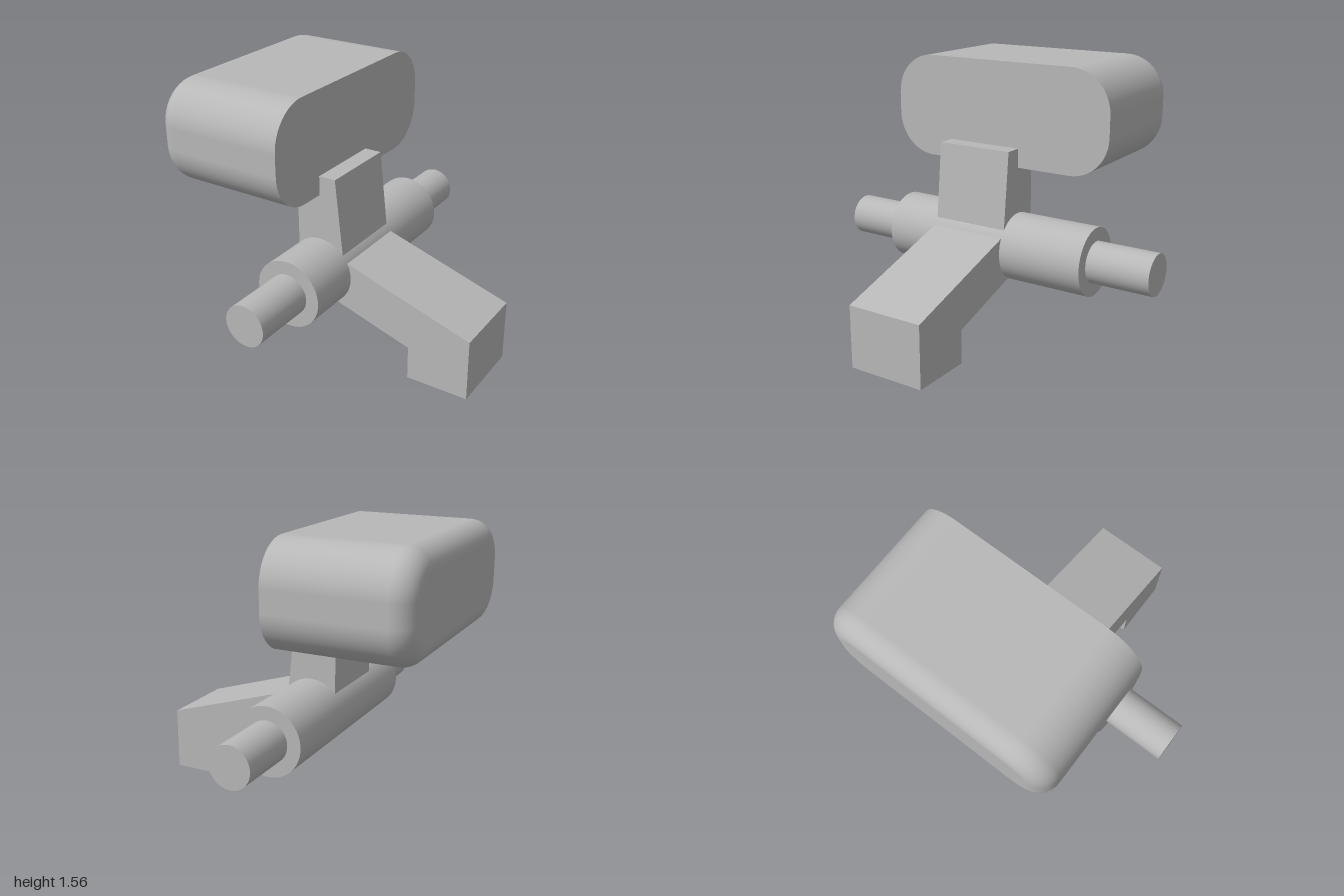
import * as THREE from 'three';

const grey = new THREE.MeshStandardMaterial({ color: 0xb8b8b8 });
grey.name = 'plain grey';

const AXLE = [-0.07, 0.51]; // x, y of the pivot axis

function part(name, geometry) {
  const mesh = new THREE.Mesh(geometry, grey);
  mesh.name = name;
  return mesh;
}

// Cylinder lying along z on the pivot axis
function barrel(name, radius, halfLength) {
  const g = new THREE.CylinderGeometry(radius, radius, halfLength * 2, 64);
  g.rotateX(Math.PI / 2).translate(AXLE[0], AXLE[1], 0);
  return part(name, g);
}

// Side outline in x, y given the common width of both arms
function arm(name, outline) {
  const shape = new THREE.Shape(outline.map(([x, y]) => new THREE.Vector2(x, y)));
  const g = new THREE.ExtrudeGeometry(shape, { depth: 0.46, bevelEnabled: false });
  return part(name, g.translate(0, 0, -0.135));
}

// Rounded-rectangle block along x: left end rounded over, right end flat
function padGeometry() {
  const x0 = -0.86, x1 = -0.07, cy = 1.265, hy = 0.295, hz = 0.693;
  const corner = 0.235, round = 0.12, steps = 12;

  // Each row: x position, inset, outward tilt of the normal, scale (0 = cap centre)
  const rows = [{ x: x0, inset: round, nx: -1, s: 0 }];
  for (let i = 0; i <= steps; i++) {
    const a = (1 - i / steps) * Math.PI / 2;
    rows.push({
      x: x0 + round * (1 - Math.sin(a)),
      inset: round * (1 - Math.cos(a)), nx: -Math.sin(a), s: 1,
    });
  }
  rows.push({ x: x1, inset: 0, nx: 0, s: 1 });
  rows.push({ x: x1, inset: 0, nx: 1, s: 1 });
  rows.push({ x: x1, inset: 0, nx: 1, s: 0 });

  const pos = [], nor = [], idx = [];
  const count = 4 * (steps + 1);
  for (const { x, inset, nx, s } of rows) {
    const n = Math.sqrt(Math.max(0, 1 - nx * nx));
    for (let q = 0; q < 4; q++) {
      const sz = q === 0 || q === 3 ? 1 : -1;
      const sy = q < 2 ? 1 : -1;
      for (let k = 0; k <= steps; k++) {
        const t = (q + k / steps) * Math.PI / 2;
        const z = sz * (hz - corner) + (corner - inset) * Math.cos(t);
        const y = sy * (hy - corner) + (corner - inset) * Math.sin(t);
        pos.push(x, cy + y * s, z * s);
        nor.push(nx, n * Math.sin(t), n * Math.cos(t));
      }
    }
  }
  for (let r = 0; r < rows.length - 1; r++) {
    for (let j = 0; j < count; j++) {
      const a = r * count + j, b = r * count + (j + 1) % count;
      const c = a + count, d = b + count;
      if (rows[r].s) idx.push(a, c, b);
      if (rows[r + 1].s) idx.push(b, c, d);
    }
  }
  const g = new THREE.BufferGeometry();
  g.setAttribute('position', new THREE.Float32BufferAttribute(pos, 3));
  g.setAttribute('normal', new THREE.Float32BufferAttribute(nor, 3));
  g.setIndex(idx);
  return g;
}

export function createModel() {
  const model = new THREE.Group();
  model.name = 'pivotingPedal';

  // Pivot
  model.add(barrel('hub', 0.195, 0.635));
  model.add(barrel('shaft', 0.118, 1));

  // Upright arm, notched to seat the pad
  model.add(arm('upperArm', [
    [-0.215, 0.51], [0, 0.51], [0.075, 0.64], [0.03, 1.08],
    [-0.07, 1.08], [-0.07, 0.97], [-0.215, 0.97],
  ]));

  // Sloping arm with its foot
  model.add(arm('lowerArm', [
    [-0.07, 0.51], [0.03, 0.34], [0.495, 0.195], [0.495, 0],
    [0.857, 0], [0.857, 0.36], [0.1, 0.6],
  ]));

  // Padded block
  model.add(part('pad', padGeometry()));

  return model;
}
